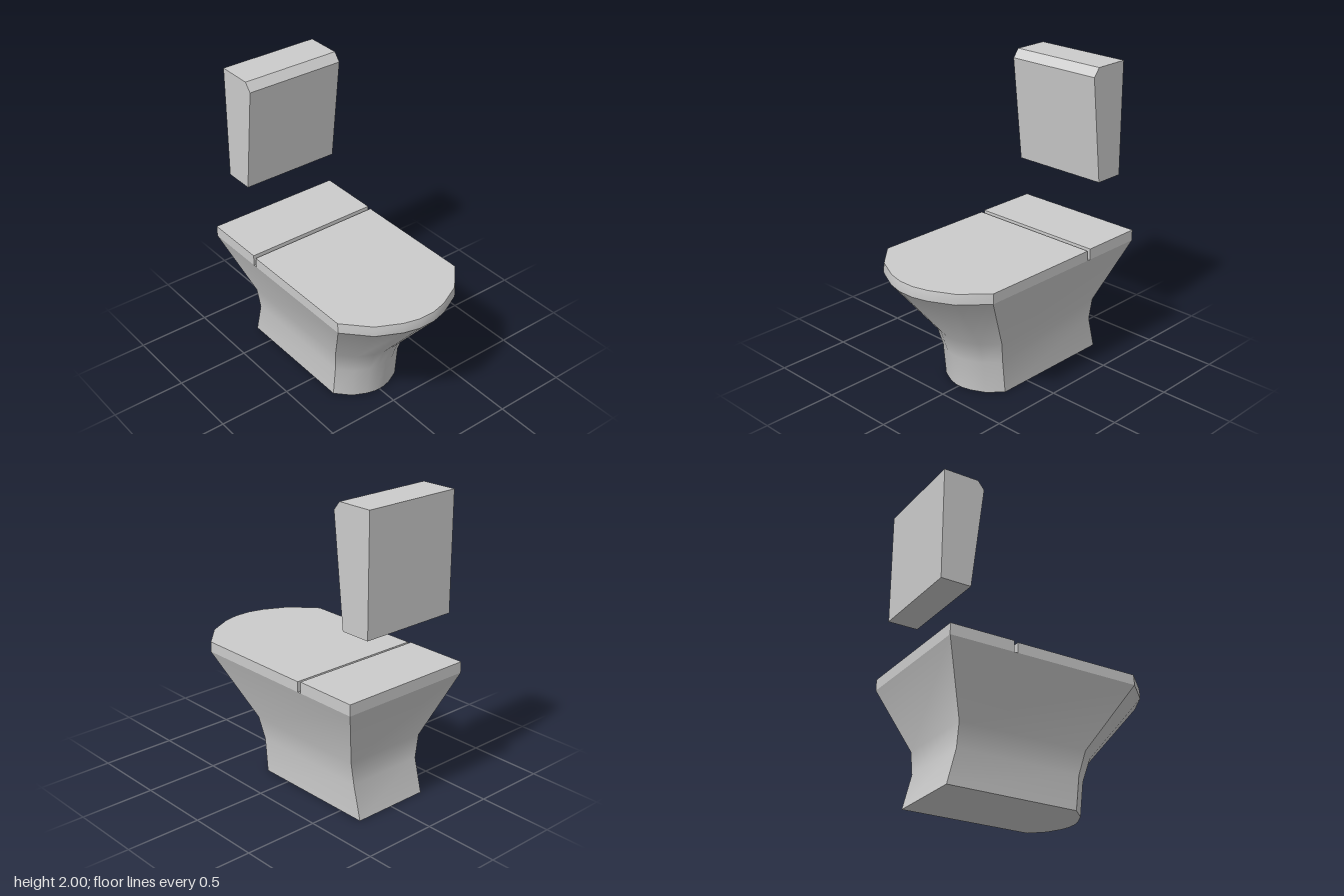
import * as THREE from 'three';
import { toCreasedNormals } from 'three/addons/utils/BufferGeometryUtils.js';

const material = new THREE.MeshStandardMaterial({ color: 0xcccccc });

// Right half of the rounded front: fraction of half width, fraction of front depth
const ARC = [[1, 0], [0.68, 0.6], [0.34, 0.9], [0.117, 1]];

// D-shaped section: square at the back, faceted curve at the front
function section({ y, w, back, straight, front }) {
  const half = ARC.map(([u, v]) => [u * w, y, straight + v * (front - straight)]);
  const mirrored = half.map(([x, h, z]) => [-x, h, z]).reverse();
  return [[w, y, back], ...half, ...mirrored, [-w, y, back]];
}

// Skin a stack of sections from bottom to top and cap both ends
function loft(levels) {
  const rings = levels.map(section);
  const n = rings[0].length;
  const index = [];
  for (let r = 0; r < rings.length - 1; r++) {
    for (let i = 0; i < n; i++) {
      const a = r * n + i, b = r * n + (i + 1) % n;
      index.push(a, a + n, b, b, a + n, b + n);
    }
  }
  const top = (rings.length - 1) * n;
  for (let i = 1; i < n - 1; i++) {
    index.push(0, i, i + 1, top, top + i + 1, top + i);
  }
  const geometry = new THREE.BufferGeometry();
  geometry.setAttribute('position', new THREE.Float32BufferAttribute(rings.flat(2), 3));
  geometry.setIndex(index);
  return toCreasedNormals(geometry, 0.6);
}

export function createModel() {
  const group = new THREE.Group();
  const add = (name, geometry) => {
    const mesh = new THREE.Mesh(geometry, material);
    mesh.name = name;
    group.add(mesh);
    return mesh;
  };

  // Flared bowl and pedestal
  add('bowl', loft([
    { y: 0, w: 0.268, back: -0.672, straight: 0.205, front: 0.355 },
    { y: 0.225, w: 0.268, back: -0.615, straight: 0.228, front: 0.378 },
    { y: 0.38, w: 0.293, back: -0.615, straight: 0.262, front: 0.43 },
    { y: 0.81, w: 0.47, back: -0.787, straight: 0.52, front: 0.787 },
  ]));

  // Seat lid, its front edge drawn in slightly at the top
  add('lid', loft([
    { y: 0.81, w: 0.47, back: -0.333, straight: 0.52, front: 0.787 },
    { y: 0.845, w: 0.47, back: -0.333, straight: 0.518, front: 0.787 },
    { y: 0.878, w: 0.47, back: -0.333, straight: 0.515, front: 0.781 },
  ]));

  // Rear deck, separated from the lid by a narrow slot
  add('rearDeck', new THREE.BoxGeometry(0.94, 0.074, 0.429))
    .position.set(0, 0.847, -0.5725);

  // Wall cistern: side profile (z, y) extruded across the width
  const profile = new THREE.Shape([
    [-0.787, 1.237], [-0.583, 1.237], [-0.503, 1.945], [-0.547, 2], [-0.787, 2],
  ].map(([z, y]) => new THREE.Vector2(z, y)));
  const cistern = new THREE.ExtrudeGeometry(profile, { depth: 0.68, bevelEnabled: false });
  cistern.translate(0, 0, -0.34).rotateY(-Math.PI / 2);
  add('cistern', cistern);

  return group;
}
